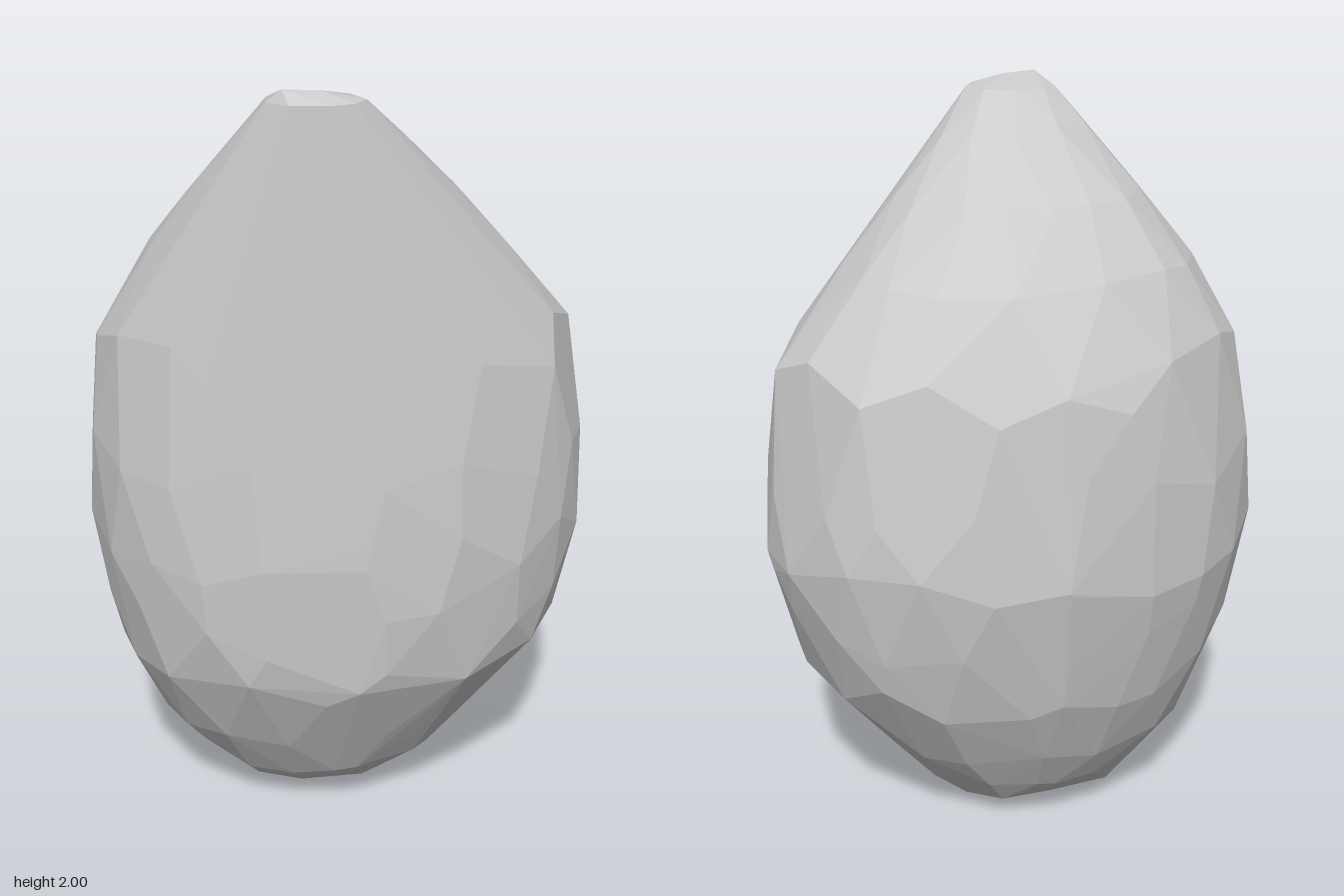
import * as THREE from 'three';
import { ConvexGeometry } from 'three/addons/geometries/ConvexGeometry.js';

// Cross-sections of the seed: [y, xMin, xMax, zMin, zMax]
const SECTIONS = [
  [0.00, -0.02, 0.13, -0.01, 0.09],
  [0.05, -0.31, 0.18, -0.19, 0.17],
  [0.14, -0.39, 0.29, -0.25, 0.27],
  [0.27, -0.50, 0.39, -0.33, 0.34],
  [0.49, -0.60, 0.58, -0.42, 0.46],
  [0.66, -0.64, 0.63, -0.45, 0.48],
  [0.85, -0.67, 0.67, -0.485, 0.485],
  [1.08, -0.66, 0.65, -0.465, 0.475],
  [1.34, -0.63, 0.62, -0.435, 0.445],
  [1.57, -0.50, 0.42, -0.31, 0.43],
  [1.73, -0.39, 0.27, -0.16, 0.425],
  [1.88, -0.28, 0.12, 0.04, 0.42],
  [1.97, -0.22, 0.02, 0.21, 0.42],
];
const COUNTS = [5, 9, 13, 16, 18, 18, 20, 18, 18, 16, 14, 11, 9];

// Small seeded generator giving values in -0.5..0.5
function makeJitter(seed) {
  let s = seed;
  return () => {
    s = (s * 16807) % 2147483647;
    return s / 2147483647 - 0.5;
  };
}

// Point on the seed's skin at a height and angle (slightly squared ellipse)
function skinPoint(y, angle) {
  let i = 0;
  while (i < SECTIONS.length - 2 && y > SECTIONS[i + 1][0]) i++;
  const a = SECTIONS[i], b = SECTIONS[i + 1];
  const t = (y - a[0]) / (b[0] - a[0]);
  const [x0, x1, z0, z1] = [1, 2, 3, 4].map((k) => a[k] + (b[k] - a[k]) * t);
  const round = (v) => Math.sign(v) * Math.pow(Math.abs(v), 0.94);
  return new THREE.Vector3(
    (x0 + x1) / 2 + (x1 - x0) / 2 * round(Math.cos(angle)),
    y,
    (z0 + z1) / 2 + (z1 - z0) / 2 * round(Math.sin(angle)),
  );
}

export function createModel() {
  const group = new THREE.Group();
  group.name = 'seed';
  const jitter = makeJitter(4721);
  const points = [];

  // Irregular staggered rings of corners
  SECTIONS.forEach(([y], ring) => {
    const n = COUNTS[ring];
    const inner = ring > 0 && ring < SECTIONS.length - 1;
    for (let k = 0; k < n; k++) {
      const angle = (k + (ring % 2) * 0.5 + jitter() * 0.5) / n * Math.PI * 2;
      // The front below the tip stays open, so long facets run up to it
      if (y > 1.4 && y < 1.95 && Math.sin(angle) > 0.25) continue;
      const wobble = inner ? jitter() * (y > 0.3 && y < 1.5 ? 0.13 : 0.04) : 0;
      points.push(skinPoint(y + wobble, angle));
    }
    // Exact widest points keep the outline crisp
    if (inner && ring % 2 === 0) {
      for (let q = 0; q < 4; q++) points.push(skinPoint(y, q * Math.PI / 2));
    }
  });

  // Blunt peak of the tip
  points.push(new THREE.Vector3(-0.18, 2.0, 0.36), new THREE.Vector3(-0.09, 1.995, 0.35));

  const body = new THREE.Mesh(
    new ConvexGeometry(points),
    new THREE.MeshStandardMaterial({ color: 0xcccccc, flatShading: true }),
  );
  body.name = 'seedBody';
  group.add(body);
  return group;
}
